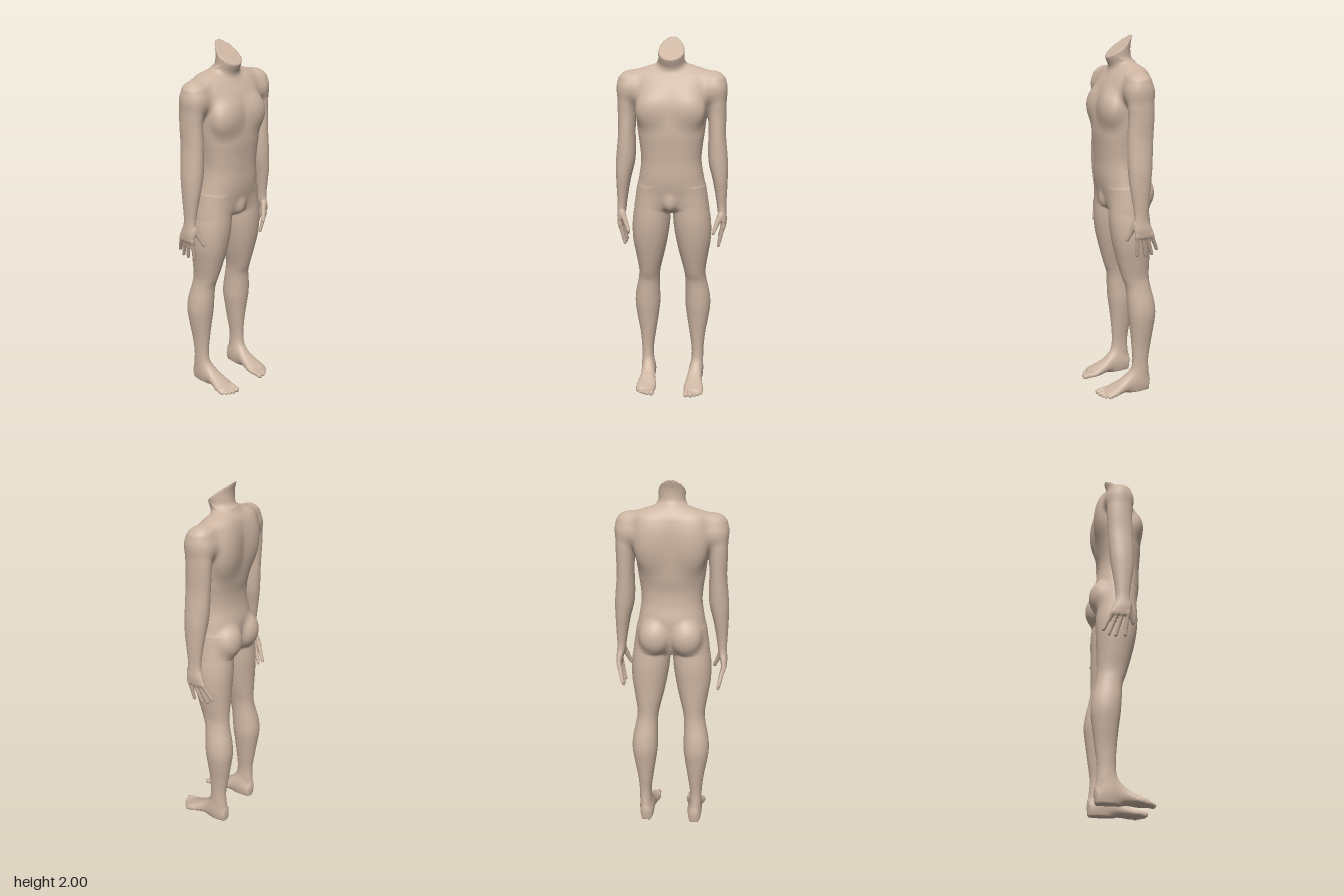
import * as THREE from 'three';

// Each loft row: [position along axis, centre, half width, high side, low side]
const TORSO = [
  [1.06, 0, 0.17, 0.04, -0.1], [1.1, 0, 0.188, 0.078, -0.12], [1.18, 0, 0.193, 0.1, -0.135],
  [1.26, 0, 0.178, 0.112, -0.138], [1.35, 0, 0.165, 0.114, -0.121], [1.42, 0, 0.169, 0.118, -0.118],
  [1.5, 0, 0.18, 0.124, -0.13], [1.6, 0, 0.192, 0.12, -0.138], [1.68, 0, 0.2, 0.11, -0.14],
  [1.75, 0, 0.215, 0.085, -0.138], [1.81, 0, 0.215, 0.048, -0.126], [1.835, 0, 0.185, 0.026, -0.113],
  [1.855, 0, 0.125, 0.01, -0.097], [1.87, 0, 0.075, 0, -0.085],
];
const NECK = [
  [1.78, 0, 0.07, 0.025, -0.11], [1.83, 0, 0.067, 0.036, -0.1], [1.89, 0, 0.069, 0.06, -0.076],
  [1.95, 0, 0.07, 0.075, -0.072], [2.01, 0, 0.07, 0.085, -0.086],
];
const ARM = [
  [0.968, 0.289, 0.012, 0.016, -0.085], [0.985, 0.29, 0.015, 0.02, -0.088], [1.02, 0.288, 0.02, 0.025, -0.076],
  [1.06, 0.281, 0.024, 0.021, -0.06], [1.1, 0.278, 0.026, 0.02, -0.057], [1.18, 0.273, 0.034, 0.03, -0.065],
  [1.25, 0.267, 0.042, 0.04, -0.075], [1.33, 0.257, 0.052, 0.045, -0.085], [1.4, 0.251, 0.052, 0.046, -0.09],
  [1.5, 0.247, 0.047, 0.044, -0.095], [1.6, 0.246, 0.049, 0.04, -0.1], [1.68, 0.244, 0.05, 0.042, -0.1],
  [1.74, 0.238, 0.048, 0.035, -0.09], [1.78, 0.23, 0.04, 0.015, -0.06],
];
const LEG = [
  [0.012, 0.142, 0.03, -0.02, -0.137], [0.06, 0.143, 0.036, -0.015, -0.143], [0.12, 0.147, 0.035, -0.026, -0.134],
  [0.2, 0.148, 0.035, -0.035, -0.13], [0.3, 0.146, 0.046, -0.03, -0.143], [0.4, 0.147, 0.062, -0.02, -0.157],
  [0.48, 0.147, 0.072, -0.01, -0.166], [0.55, 0.145, 0.07, -0.005, -0.16], [0.64, 0.136, 0.061, 0.002, -0.14],
  [0.7, 0.13, 0.061, 0.022, -0.133], [0.8, 0.125, 0.08, 0.05, -0.135], [0.9, 0.122, 0.098, 0.073, -0.138],
  [1.0, 0.115, 0.105, 0.086, -0.14], [1.1, 0.106, 0.098, 0.086, -0.13], [1.2, 0.1, 0.075, 0.075, -0.11],
];
const FOOT = [
  [-0.12, 0.14, 0.026, 0.07, 0.008], [-0.06, 0.14, 0.034, 0.12, 0.006], [-0.02, 0.138, 0.038, 0.116, 0.008],
  [0.03, 0.137, 0.046, 0.083, 0.006], [0.08, 0.137, 0.056, 0.055, 0.001], [0.11, 0.137, 0.056, 0.042, 0.001],
  [0.13, 0.132, 0.046, 0.034, 0.004],
];

// Signed field of a tube whose superellipse sections follow the rows smoothly
function loft(rows, power) {
  const last = rows.length - 1, row = [0, 0, 0, 0];
  let cached = NaN;
  const slope = (i, c) => {
    const a = rows[Math.max(i - 1, 0)], b = rows[Math.min(i + 1, last)];
    return (b[c] - a[c]) / (b[0] - a[0]);
  };
  return (t, u, v) => {
    if (t !== cached) {
      cached = t;
      const q = Math.min(Math.max(t, rows[0][0]), rows[last][0]);
      let i = 0;
      while (i < last - 1 && q > rows[i + 1][0]) i++;
      const d = rows[i + 1][0] - rows[i][0], s = (q - rows[i][0]) / d, w = s * s * (3 - 2 * s);
      for (let c = 1; c < 5; c++) {
        row[c - 1] = rows[i][c] * (1 - w) + rows[i + 1][c] * w
          + d * s * (1 - s) * ((1 - s) * slope(i, c) - s * slope(i + 1, c));
      }
    }
    const [centre, half, high, low] = row, depth = (high - low) / 2;
    const a = Math.abs(u - centre) / half, b = Math.abs(v - (high + low) / 2) / depth;
    const r = (a ** power + b ** power) ** (1 / power);
    return Math.max((r - 1) * Math.min(half, depth), t - rows[last][0], rows[0][0] - t);
  };
}

const ellipsoid = (cx, cy, cz, rx, ry, rz) => (x, y, z) =>
  (Math.hypot((x - cx) / rx, (y - cy) / ry, (z - cz) / rz) - 1) * Math.min(rx, ry, rz);

// Tapered rod with round ends, for fingers and toes
function rod([ax, ay, az], [bx, by, bz], ra, rb) {
  const dx = bx - ax, dy = by - ay, dz = bz - az, len2 = dx * dx + dy * dy + dz * dz;
  return (x, y, z) => {
    const s = Math.min(1, Math.max(0, ((x - ax) * dx + (y - ay) * dy + (z - az) * dz) / len2));
    return Math.hypot(x - ax - s * dx, y - ay - s * dy, z - az - s * dz) - ra - (rb - ra) * s;
  };
}

// Union of two fields with a soft fillet of size k
function blend(a, b, k) {
  const h = Math.max(k - Math.abs(a - b), 0) / k;
  return Math.min(a, b) - h * h * k / 4;
}

const torsoTube = loft(TORSO, 2.3), neckTube = loft(NECK, 2), armTube = loft(ARM, 2.1);
const legTube = loft(LEG, 2.1), footTube = loft(FOOT, 2.2);
const chest = ellipsoid(0.09, 1.63, 0.078, 0.09, 0.09, 0.052);
const shoulderBlade = ellipsoid(0.1, 1.68, -0.098, 0.085, 0.13, 0.055);
const buttock = ellipsoid(0.085, 1.165, -0.1, 0.086, 0.1, 0.076);
const groin = ellipsoid(0, 1.13, 0.072, 0.035, 0.05, 0.032);
const deltoid = ellipsoid(0.235, 1.745, -0.025, 0.06, 0.075, 0.07);
const thumb = rod([0.272, 1.045, 0.012], [0.236, 0.953, 0.043], 0.016, 0.01);
const fingers = [
  [0.007, -0.004, 0.868], [-0.021, -0.054, 0.863], [-0.048, -0.09, 0.868], [-0.073, -0.118, 0.892],
].map(([base, tip, y]) => rod([0.29, 0.985, base], [0.264, y, tip], 0.0125, 0.009));
const toes = [
  [0.1, 0.175, 0.0145], [0.127, 0.172, 0.0105], [0.148, 0.161, 0.0097], [0.167, 0.148, 0.0092], [0.184, 0.131, 0.009],
].map(([x, tip, r]) => rod([x, 0.026, tip - 0.06], [x, r + 0.003, tip - r], r, r));

function torsoField(x, y, z) {
  const neck = Math.max(neckTube(y, x, z), (y - 1.94 + 0.786 * z) / 1.27); // slanted cut
  let f = blend(torsoTube(y, x, z), neck, 0.035);
  f = blend(f, chest(x, y, z), 0.03);
  f = blend(f, shoulderBlade(x, y, z), 0.04);
  f = blend(f, buttock(x, y, z), 0.02);
  return blend(f, groin(x, y, z), 0.02);
}
function armField(x, y, z) {
  let f = blend(armTube(y, x, z), deltoid(x, y, z), 0.03);
  if (y > 1.12) return f;
  f = blend(f, thumb(x, y, z), 0.012);
  return blend(f, Math.min(...fingers.map((g) => g(x, y, z))), 0.006);
}
function legField(x, y, z) {
  let f = legTube(y, x, z);
  if (y > 0.2) return f;
  f = blend(f, footTube(z, x, y), 0.03);
  return blend(f, Math.min(...toes.map((g) => g(x, y, z))), 0.005);
}
function bodyField(px, y, z) {
  const x = Math.abs(px);
  const armpit = 0.012 + 0.035 * THREE.MathUtils.smoothstep(y, 1.6, 1.72);
  const trunk = blend(torsoField(x, y, z), armField(x, y, z), armpit);
  const leg = legField(x, y, z);
  return y > 1.04 && x < 0.225 ? blend(trunk, leg, 0.025 * THREE.MathUtils.smoothstep(y, 1.04, 1.09) + 1e-6) : Math.min(trunk, leg);
}

function partName(px, y, z) {
  const x = Math.abs(px), side = px > 0 ? 'left' : 'right';
  const torso = torsoField(x, y, z), arm = armField(x, y, z), leg = legField(x, y, z);
  if (torso <= arm && torso <= leg) return y > 1.87 ? 'neck' : 'torso';
  if (arm < leg) return side + (y < 1.08 ? 'Hand' : 'Arm');
  return side + (y < 0.12 ? 'Foot' : 'Leg');
}

// Skin the field with one vertex per crossed grid cell
function skin() {
  const h = 0.007, n = [97, 292, 58], origin = [-48 * h, -0.014, -0.2];
  const step = [1, n[0] * n[2], n[0]]; // x fastest, then z, then y
  const values = new Float32Array(n[0] * n[1] * n[2]);
  for (let j = 0; j < n[1]; j++) for (let k = 0; k < n[2]; k++) for (let i = 0; i <= 48; i++) {
    const f = bodyField((48 - i) * h, origin[1] + j * h, origin[2] + k * h), at = j * step[1] + k * step[2];
    values[at + i] = values[at + 96 - i] = f;
  }
  const cellVertex = new Int32Array(values.length).fill(-1), positions = [], index = [];
  const corners = [...Array(8).keys()].map((c) => [c & 1, (c >> 1) & 1, c >> 2]);
  const offset = corners.map((c) => c[0] * step[0] + c[1] * step[1] + c[2] * step[2]);
  for (let j = 0; j < n[1] - 1; j++) for (let k = 0; k < n[2] - 1; k++) for (let i = 0; i < n[0] - 1; i++) {
    const at = i + j * step[1] + k * step[2], sum = [0, 0, 0];
    let count = 0;
    for (let a = 0; a < 8; a++) for (let axis = 0; axis < 3; axis++) {
      if (corners[a][axis]) continue;
      const b = a | (1 << axis), fa = values[at + offset[a]], fb = values[at + offset[b]];
      if ((fa < 0) === (fb < 0)) continue;
      for (let c = 0; c < 3; c++) sum[c] += corners[a][c] + (c === axis ? fa / (fa - fb) : 0);
      count++;
    }
    if (!count) continue;
    const p = [i, j, k].map((g, c) => origin[c] + (g + sum[c] / count) * h);
    // Pull the vertex onto the exact surface
    const f = bodyField(...p), e = 0.001;
    const g = [0, 1, 2].map((c) => (bodyField(...p.map((v, m) => v + (m === c ? e : 0))) - f) / e);
    const move = THREE.MathUtils.clamp(f / Math.max(Math.hypot(...g), 0.2), -h / 3, h / 3) / (Math.hypot(...g) || 1);
    cellVertex[at] = positions.length / 3;
    positions.push(...p.map((v, c) => v - g[c] * move));
  }
  for (let at = 0; at < values.length; at++) for (let axis = 0; axis < 3; axis++) {
    const inside = values[at] < 0, s = step[axis];
    if (at + s >= values.length || inside === (values[at + s] < 0)) continue;
    const u = step[(axis + 1) % 3], v = step[(axis + 2) % 3];
    const [a, b, c, d] = [at - u - v, at - v, at, at - u].map((q) => cellVertex[q]);
    if (Math.min(a, b, c, d) < 0) continue;
    index.push(...(inside ? [a, b, c, a, c, d] : [a, c, b, a, d, c]));
  }
  const geometry = new THREE.BufferGeometry();
  geometry.setAttribute('position', new THREE.Float32BufferAttribute(positions, 3));
  geometry.setIndex(index);
  geometry.computeVertexNormals();
  return geometry;
}

export function createModel() {
  const model = new THREE.Group();
  model.name = 'headlessFigure';
  const skinMaterial = new THREE.MeshStandardMaterial({ color: 0xcdb5a2 });
  skinMaterial.name = 'skin';

  // Divide the skin into named parts that share normals along their borders
  const body = skin(), position = body.attributes.position, normal = body.attributes.normal, parts = {};
  for (let t = 0; t < body.index.count; t += 3) {
    const tri = [0, 1, 2].map((c) => body.index.getX(t + c));
    const mid = ['getX', 'getY', 'getZ'].map((get) => tri.reduce((sum, v) => sum + position[get](v), 0) / 3);
    const part = (parts[partName(...mid)] ??= { lookup: new Map(), points: [], normals: [], index: [] });
    for (const v of tri) {
      if (!part.lookup.has(v)) {
        part.lookup.set(v, part.lookup.size);
        part.points.push(position.getX(v), position.getY(v), position.getZ(v));
        part.normals.push(normal.getX(v), normal.getY(v), normal.getZ(v));
      }
      part.index.push(part.lookup.get(v));
    }
  }
  for (const [name, part] of Object.entries(parts)) {
    const geometry = new THREE.BufferGeometry();
    geometry.setAttribute('position', new THREE.Float32BufferAttribute(part.points, 3));
    geometry.setAttribute('normal', new THREE.Float32BufferAttribute(part.normals, 3));
    geometry.setIndex(part.index);
    const mesh = new THREE.Mesh(geometry, skinMaterial);
    mesh.name = name;
    model.add(mesh);
  }
  return model;
}
